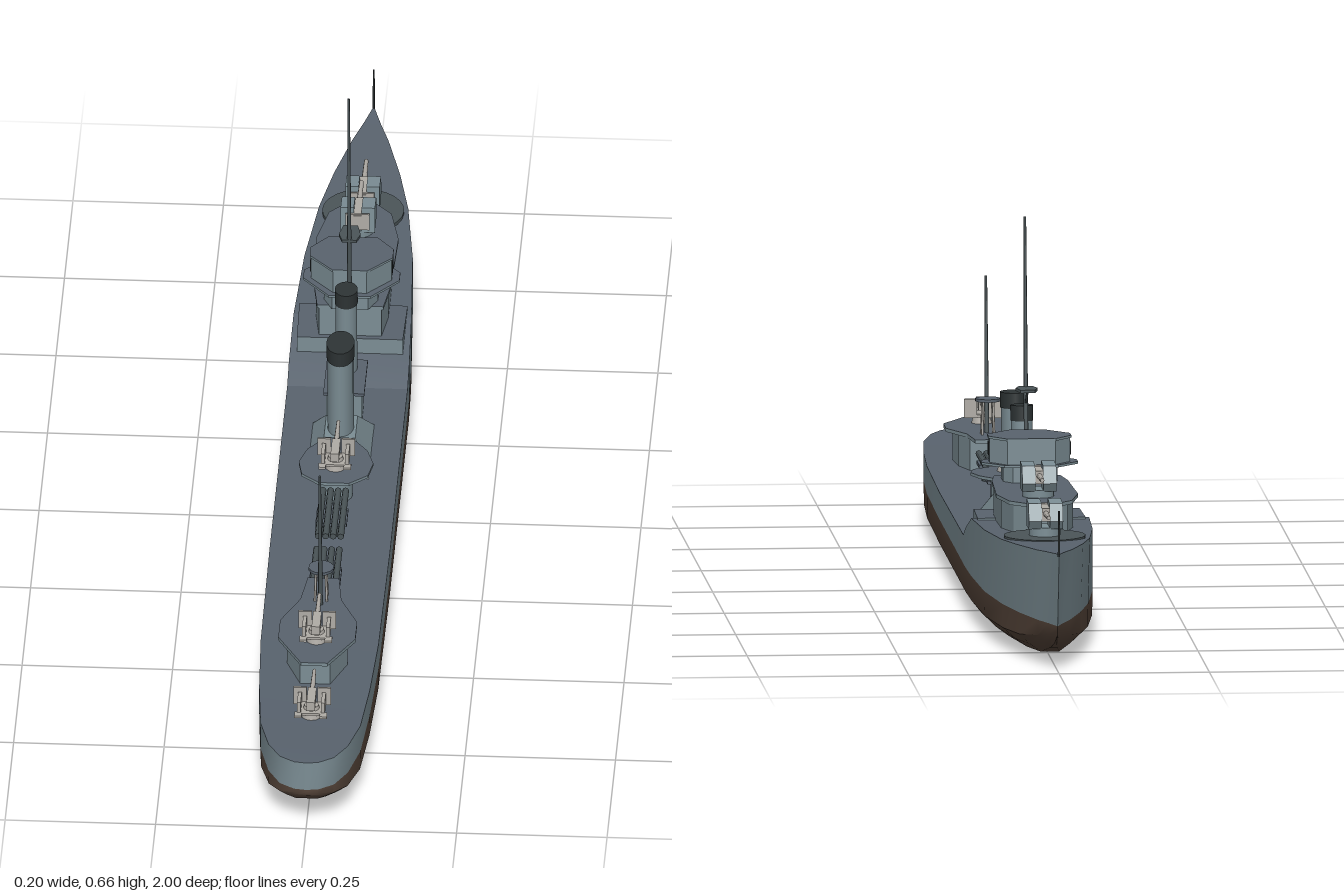
import * as THREE from 'three';
import { toCreasedNormals } from 'three/addons/utils/BufferGeometryUtils.js';

export function createModel() {
  const ship = new THREE.Group();
  ship.name = 'warship';
  const paint = (name, color) => {
    const m = new THREE.MeshStandardMaterial({ color });
    m.name = name;
    return m;
  };
  const grey = paint('hullGrey', 0x7c8e95);
  const deckGrey = paint('deckGrey', 0x59636e);
  const brown = paint('bottomBrown', 0x56453a);
  const black = paint('funnelBlack', 0x2e3435);
  const pale = paint('gunPale', 0xb0aca6);
  const dark = paint('darkMetal', 0x4b5558);

  const add = (name, geo, mat, x = 0, y = 0, z = 0, parent = ship) => {
    const m = new THREE.Mesh(geo, mat);
    m.name = name;
    m.position.set(x, y, z);
    parent.add(m);
    return m;
  };
  const box = (name, w, h, d, mat, x, y, z, parent) =>
    add(name, new THREE.BoxGeometry(w, h, d), mat, x, y, z, parent);
  // cylinder between two points
  const rod = (name, a, b, r0, r1, mat, parent, sides = 8) => {
    const p = new THREE.Vector3(...a), q = new THREE.Vector3(...b), dir = q.clone().sub(p);
    const m = add(name, new THREE.CylinderGeometry(r1, r0, dir.length(), sides), mat, 0, 0, 0, parent);
    m.position.copy(p).add(q).multiplyScalar(0.5);
    m.quaternion.setFromUnitVectors(new THREE.Vector3(0, 1, 0), dir.normalize());
    return m;
  };
  // mirrored plan outline (half list of [x, z]) raised from y0 to y1, with deck-coloured top
  const prism = (name, half, y0, y1, mats = [deckGrey, grey]) => {
    const pts = [...half, ...half.filter(p => p[0] > 0).reverse().map(([x, z]) => [-x, z])];
    const shape = new THREE.Shape(pts.map(([x, z]) => new THREE.Vector2(x, -z)));
    const g = new THREE.ExtrudeGeometry(shape, { depth: y1 - y0, bevelEnabled: false });
    g.rotateX(-Math.PI / 2);
    return add(name, g, mats, 0, y0, 0);
  };
  // surface through rows of points
  const loft = (name, rows, mat, crease = 0.5) => {
    const n = rows[0].length, idx = [];
    for (let i = 0; i < rows.length - 1; i++) for (let j = 0; j < n - 1; j++) {
      const a = i * n + j, c = a + n;
      idx.push(a, a + 1, c, a + 1, c + 1, c);
    }
    const g = new THREE.BufferGeometry();
    g.setAttribute('position', new THREE.Float32BufferAttribute(rows.flat(2), 3));
    g.setIndex(idx);
    add(name, toCreasedNormals(g, crease), mat);
  };

  // Hull stations: z, half beam, keel height, sheer height, fullness
  const stations = [
    [-1, 0, 0.06, 0.2, 0.1], [-0.95, 0.014, 0.04, 0.197, 0.15], [-0.9, 0.03, 0.028, 0.194, 0.2],
    [-0.8, 0.055, 0.009, 0.189, 0.3], [-0.7, 0.074, 0.003, 0.184, 0.42], [-0.55, 0.09, 0, 0.178, 0.55],
    [-0.37, 0.098, 0, 0.172, 0.68], [-0.27, 0.1, 0, 0.142, 0.7], [-0.22, 0.1, 0, 0.123, 0.7],
    [0.3, 0.1, 0, 0.12, 0.7], [0.6, 0.098, 0, 0.121, 0.68], [0.75, 0.092, 0.002, 0.122, 0.6],
    [0.87, 0.083, 0.012, 0.124, 0.5], [0.94, 0.066, 0.028, 0.126, 0.45], [0.98, 0.045, 0.047, 0.127, 0.4],
    [0.997, 0.02, 0.062, 0.127, 0.4], [1, 0, 0.068, 0.127, 0.4]];
  const WL = 0.075;
  const mirrorRow = half => [...half.slice().reverse().map(([x, y, z]) => [-x, y, z]), ...half];
  const lower = [], starboard = [], port = [], deck = [];
  for (const [z, w, k, s, f] of stations) {
    const at = (x, y) => [x, y, z + 0.05 * (1 - y / s) * Math.max(0, (-z - 0.85) / 0.15)];
    const ww = w * (z < -0.5 ? 0.85 + 0.15 * Math.min(1, f / 0.55) : 1);
    const rise = WL - k;
    lower.push(mirrorRow([at(0, k), at(ww * f, k), at(ww * (f + 1) / 2, k + rise * 0.2),
      at(ww * (0.98 + 0.02 * f), k + rise * 0.45), at(ww, WL)]));
    port.push([at(ww, WL), at(w, s)]);
    starboard.push([at(-w, s), at(-ww, WL)]);
    deck.push([at(w, s), at(-w, s)]);
  }
  loft('lowerHull', lower, brown, 0.7);
  loft('hullSideLeft', port, grey);
  loft('hullSideRight', starboard, grey);
  loft('mainDeck', deck, deckGrey, 0.1);

  // Forward superstructure and bridge
  prism('forecastleBreak', [[0.088, -0.29], [0.09, -0.4]], 0.115, 0.176);
  prism('forwardDeckhouse', [[0.052, -0.3], [0.06, -0.36], [0.06, -0.52], [0.045, -0.59], [0.02, -0.62]], 0.165, 0.227);
  prism('gunDeck', [[0.055, -0.3], [0.063, -0.36], [0.068, -0.52], [0.052, -0.6], [0.022, -0.635]], 0.227, 0.233);
  prism('bridgeBase', [[0.03, -0.29], [0.045, -0.32], [0.045, -0.37], [0.03, -0.39]], 0.232, 0.262);
  prism('bridgeWings', [[0.035, -0.28], [0.08, -0.335], [0.08, -0.36], [0.045, -0.4]], 0.26, 0.264);
  prism('bridge', [[0.028, -0.29], [0.067, -0.335], [0.067, -0.36], [0.04, -0.395]], 0.264, 0.308);
  prism('bridgeRoofEdge', [[0.029, -0.289], [0.069, -0.334], [0.069, -0.361], [0.041, -0.397]], 0.304, 0.308);
  for (const s of [-1, 1]) box('bridgeWindow', 0.004, 0.022, 0.02, black, s * 0.0665, 0.286, -0.3475);

  // Funnels, raked aft
  const funnel = (name, rx, rz, y0, y1, z) => {
    const g = new THREE.Group();
    g.name = name;
    g.position.set(0, y0, z);
    g.rotation.x = 0.05;
    const h = y1 - y0;
    const tube = (n, k, len, y, mat) => {
      const geo = new THREE.CylinderGeometry(1, 1, len, 20);
      geo.scale(rx * k, 1, rz * k);
      add(n, geo, mat, 0, y, 0, g);
    };
    tube('funnelBody', 1, h - 0.026, (h - 0.026) / 2, grey);
    tube('funnelCap', 1.06, 0.026, h - 0.013, black);
    ship.add(g);
  };
  funnel('foreFunnel', 0.018, 0.021, 0.12, 0.335, -0.195);
  funnel('aftFunnel', 0.022, 0.033, 0.13, 0.333, -0.025);
  const casing = [[0.07, 0.052, 0.121], [0.012, 0.026, 0.165], [-0.06, 0.026, 0.165], [-0.105, 0.052, 0.121]];
  loft('funnelCasing', casing.slice().reverse().map(([z, w, y]) =>
    [[0.052, 0.12, z], [w, y, z], [-w, y, z], [-0.052, 0.12, z]]), grey, 0.1);
  box('midDeckhouse', 0.06, 0.052, 0.05, grey, 0, 0.146, -0.14);
  box('midDeckhouseRoof', 0.068, 0.005, 0.11, deckGrey, 0, 0.175, -0.165);

  // Midships gun platform and torpedo mounts
  add('midGunSupport', new THREE.CylinderGeometry(0.028, 0.028, 0.058, 16), grey, 0, 0.148, 0.122);
  prism('midGunPlatform', [[0.022, 0.035], [0.05, 0.075], [0.062, 0.115], [0.055, 0.155], [0.025, 0.182]],
    0.174, 0.179);
  for (const z of [0.43, 0.24]) {
    const g = new THREE.Group();
    g.name = 'torpedoMount';
    ship.add(g);
    rod('mountPedestal', [0, 0.119, z], [0, 0.148, z], 0.02, 0.02, dark, g, 14);
    box('mountCradle', 0.052, 0.006, 0.05, deckGrey, 0, 0.147, z, g);
    for (let i = 0; i < 4; i++) {
      const x = (i - 1.5) * 0.0125;
      rod('torpedoTube', [x, 0.155, z + 0.075], [x, 0.155, z - 0.075], 0.0055, 0.0055, dark, g);
    }
  }

  // Aft deckhouse with overhanging platform
  prism('aftDeckhouse', [[0.03, 0.545], [0.045, 0.6], [0.05, 0.67], [0.025, 0.735]], 0.118, 0.174);
  prism('aftPlatform', [[0.026, 0.49], [0.034, 0.56], [0.064, 0.63], [0.064, 0.685], [0.022, 0.765]], 0.174, 0.18);

  // Open gun mount, aimed forward
  const openGun = (y, z) => {
    const g = new THREE.Group();
    g.name = 'openGun';
    g.position.set(0, y, z);
    ship.add(g);
    rod('gunPedestal', [0, 0, 0], [0, 0.022, 0], 0.017, 0.012, pale, g, 12);
    box('gunCradle', 0.014, 0.016, 0.05, pale, 0, 0.032, 0, g);
    for (const s of [-1, 1]) {
      box('gunSide', 0.006, 0.02, 0.034, pale, s * 0.02, 0.026, 0.002, g);
      box('gunShield', 0.022, 0.032, 0.004, pale, s * 0.02, 0.027, -0.02, g);
      box('gunSeat', 0.012, 0.004, 0.014, pale, s * 0.021, 0.015, 0.024, g);
    }
    box('gunPlatform', 0.046, 0.004, 0.04, pale, 0, 0.014, 0, g);
    rod('gunBarrel', [0, 0.035, -0.02], [0, 0.037, -0.085], 0.0045, 0.003, pale, g);
  };
  openGun(0.179, 0.13);
  openGun(0.18, 0.69);
  openGun(0.123, 0.84);

  // Forward guns in sloping shields
  const shieldedGun = (y, z) => {
    const g = new THREE.Group();
    g.name = 'shieldedGun';
    g.position.set(0, y, z);
    ship.add(g);
    rod('gunBase', [0, -0.01, 0], [0, 0.012, 0], 0.026, 0.026, grey, g, 16);
    const side = new THREE.Shape([[-0.026, 0.01], [0.024, 0.01], [0.032, 0.024], [0.018, 0.052], [-0.022, 0.055]]
      .map(p => new THREE.Vector2(...p)));
    for (const s of [-1, 1]) {
      const geo = new THREE.ExtrudeGeometry(side, { depth: 0.022, bevelEnabled: false });
      geo.rotateY(Math.PI / 2);
      add('gunShield', geo, grey, s * 0.0175 - 0.011, 0, 0, g);
    }
    box('gunCradle', 0.013, 0.022, 0.06, pale, 0, 0.034, 0.002, g);
    box('gunBreech', 0.04, 0.03, 0.004, pale, 0, 0.032, 0.028, g);
    rod('gunBarrel', [0, 0.036, -0.025], [0, 0.038, -0.09], 0.005, 0.0035, pale, g);
  };
  shieldedGun(0.234, -0.545);
  shieldedGun(0.191, -0.685);
  add('foreGunRing', new THREE.CylinderGeometry(0.068, 0.068, 0.008, 24), dark, 0, 0.184, -0.685);

  // Masts, lookouts and staff
  rod('foremast', [0, 0.17, -0.288], [0, 0.66, -0.255], 0.0045, 0.002, dark);
  prism('foremastLookout', [[0.012, -0.27], [0.018, -0.29], [0.012, -0.318]], 0.373, 0.378, [dark, dark]);
  rod('lookoutBrace', [0, 0.35, -0.275], [0, 0.375, -0.31], 0.002, 0.002, dark);
  rod('mainmast', [0, 0.178, 0.575], [0, 0.44, 0.596], 0.004, 0.002, dark);
  for (const x of [-0.01, 0.01]) for (const z of [0.545, 0.565])
    rod('searchlightLeg', [x, 0.178, z], [x * 0.8, 0.238, z], 0.002, 0.002, pale);
  add('searchlightPlatform', new THREE.CylinderGeometry(0.021, 0.021, 0.005, 14), deckGrey, 0, 0.238, 0.555);
  rod('jackstaff', [0, 0.195, -0.995], [0, 0.272, -0.997], 0.002, 0.0015, black);

  return ship;
}
